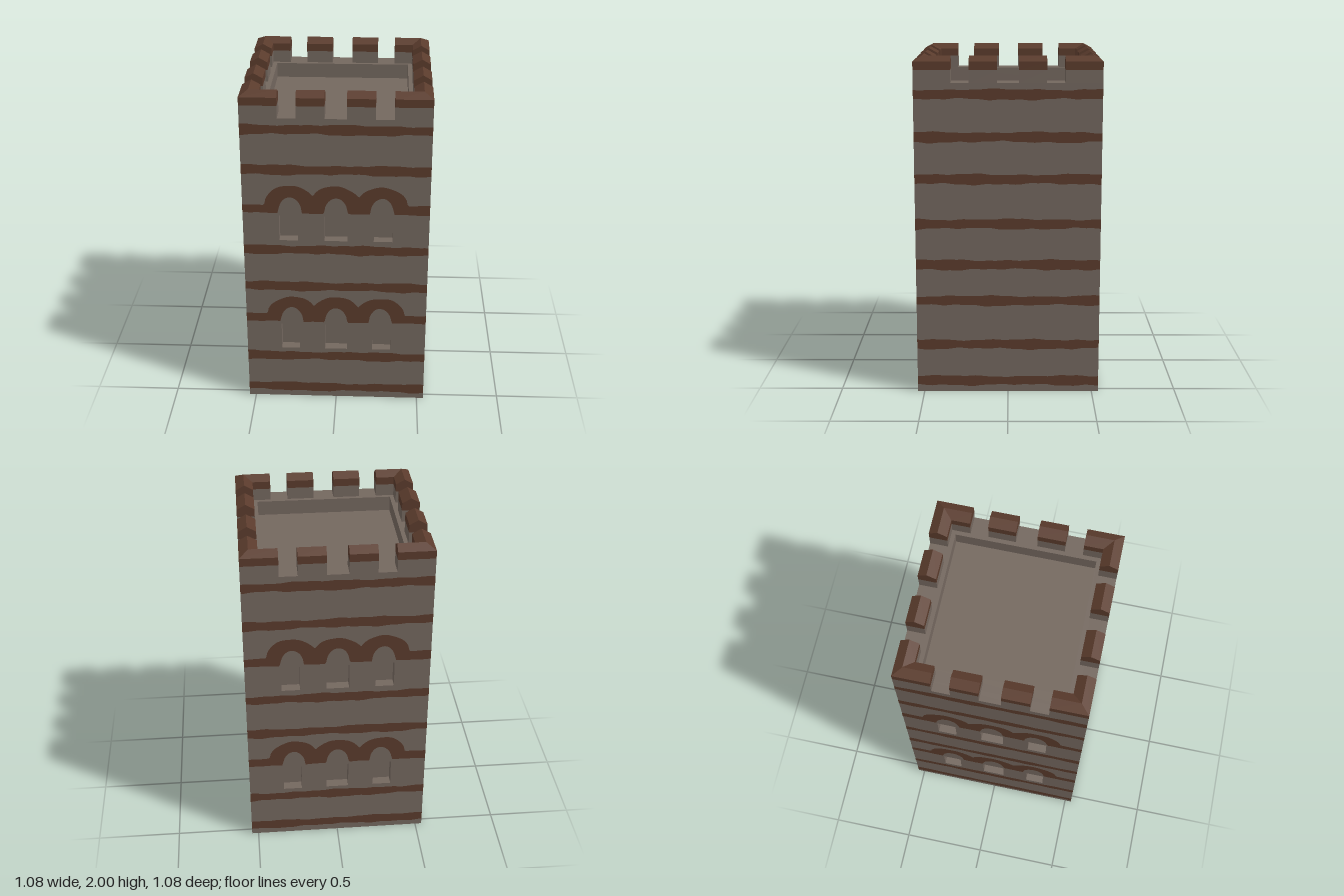
import * as THREE from 'three';

const HALF = 0.54, WALL_TOP = 1.85, FLOOR = 1.76, RECESS = 0.06, INNER = 0.41;
const WINDOWS = [[-0.33, -0.22], [-0.067, 0.067], [0.22, 0.33]];
const WINDOW_ROWS = [[0.35, 0.52], [1.09, 1.25]];
const ARCH_CENTRES = [-0.265, 0, 0.265];
const STRIPES = [0.04, 0.268, 0.538, 0.757, 1.002, 1.267, 1.512, 1.757];
const ARCHED = [2, 5];

function rect(x0, y0, x1, y1, Type = THREE.Shape) {
  const s = new Type();
  s.moveTo(x0, y0);
  s.lineTo(x1, y0);
  s.lineTo(x1, y1);
  s.lineTo(x0, y1);
  s.closePath();
  return s;
}

// Height of a half ellipse of half-width r and height h, or 0 outside it
const bump = (u, r, h) => Math.max(...ARCH_CENTRES.map(
  (c) => h * Math.sqrt(Math.max(0, 1 - ((u - c) / r) ** 2))));

// Uneven hand-laid edge
const wobble = (u, seed) => 0.004 * Math.sin(u * 9 + seed * 2.3)
  + 0.003 * Math.sin(u * 23 + seed * 5.1) + 0.002 * Math.sin(u * 51 + seed);

// One brick band, optionally rising in arches over the windows
function stripeGeometry(y, arched, seed) {
  const n = arched ? 160 : 50, top = [], bottom = [];
  for (let i = 0; i <= n; i++) {
    const u = -HALF + (2 * HALF * i) / n;
    const up = arched ? bump(u, 0.147, 0.117) : 0;
    const hole = arched ? bump(u, 0.068, 0.1) : 0;
    bottom.push(new THREE.Vector2(u, y + hole + wobble(u, seed) * (arched ? 0.4 : 1)));
    top.push(new THREE.Vector2(u, y + 0.056 + up + wobble(u, seed + 1.7) * 0.8));
  }
  return new THREE.ShapeGeometry(new THREE.Shape([...bottom, ...top.reverse()]));
}

// Sweep an (outward, y) profile along a wall from t0 to t1; 'mitre' ends follow the corner diagonal
function sweep(profile, t0, t1) {
  const shape = new THREE.Shape(profile.map(([o, y]) => new THREE.Vector2(o, y)));
  const geo = new THREE.ExtrudeGeometry(shape, { depth: 1, bevelEnabled: false });
  const p = geo.attributes.position;
  for (let i = 0; i < p.count; i++) {
    const o = p.getX(i);
    const a = t0 === 'mitre' ? -o : t0, b = t1 === 'mitre' ? o : t1;
    p.setXYZ(i, p.getZ(i) < 0.5 ? b : a, p.getY(i), o);
  }
  geo.computeVertexNormals();
  return geo;
}

export function createModel() {
  const stone = new THREE.MeshStandardMaterial({ color: 0x73675e });
  stone.name = 'stone';
  const brick = new THREE.MeshStandardMaterial({ color: 0x5a3b2c });
  brick.name = 'brick';

  const tower = new THREE.Group();
  tower.name = 'tower';
  const add = (parent, name, geo, mat) => {
    const m = new THREE.Mesh(geo, mat);
    m.name = name;
    parent.add(m);
    return m;
  };

  // Solid core: its top is the sunken roof floor, its sides back the windows
  const core = 2 * (HALF - RECESS);
  add(tower, 'core', new THREE.BoxGeometry(core, FLOOR, core), stone).position.y = FLOOR / 2;

  // Parapet ring around the roof floor
  const ring = rect(-core / 2, -core / 2, core / 2, core / 2);
  ring.holes.push(rect(-INNER, -INNER, INNER, INNER, THREE.Path));
  const parapet = add(tower, 'parapet', new THREE.ExtrudeGeometry(ring,
    { depth: WALL_TOP - FLOOR, bevelEnabled: false }), stone);
  parapet.rotation.x = -Math.PI / 2;
  parapet.position.y = FLOOR;

  // Battlement profiles: stone foot and pitched brick cap
  const inner = 0.435, capY = 1.923;
  const foot = [[inner, WALL_TOP], [HALF, WALL_TOP], [HALF, capY], [inner, capY]];
  const cap = [[inner, capY], [HALF, capY], [HALF, 1.97], [0.488, 2], [inner, 1.97]];
  const merlons = [['mitre', -0.327], [-0.222, -0.062], [0.062, 0.222], [0.327, 'mitre']];

  // Four sides; the one facing +x has no windows
  const sides = [
    { name: 'front', turn: 0, open: true },
    { name: 'left', turn: 1, open: false },
    { name: 'back', turn: 2, open: true },
    { name: 'right', turn: 3, open: true },
  ];
  for (const { name, turn, open } of sides) {
    const side = new THREE.Group();
    side.name = name + 'Side';
    side.rotation.y = turn * Math.PI / 2;
    tower.add(side);

    // Outer wall with window openings
    const w = turn % 2 ? HALF - RECESS : HALF;
    const face = rect(-w, 0, w, WALL_TOP);
    if (open) {
      for (const [y0, y1] of WINDOW_ROWS) {
        for (const [x0, x1] of WINDOWS) face.holes.push(rect(x0, y0, x1, y1, THREE.Path));
      }
    }
    add(side, name + 'Wall', new THREE.ExtrudeGeometry(face,
      { depth: RECESS, bevelEnabled: false }), stone).position.z = HALF - RECESS;

    // Brick bands
    STRIPES.forEach((y, i) => {
      const geo = stripeGeometry(y, open && ARCHED.includes(i), i + turn * 3.1);
      add(side, name + 'BrickBand', geo, brick).position.z = HALF + 0.002;
    });

    // Battlements
    for (const [a, b] of merlons) {
      add(side, name + 'Merlon', sweep(foot, a, b), stone);
      add(side, name + 'MerlonCap', sweep(cap, a, b), brick);
    }
  }
  return tower;
}
